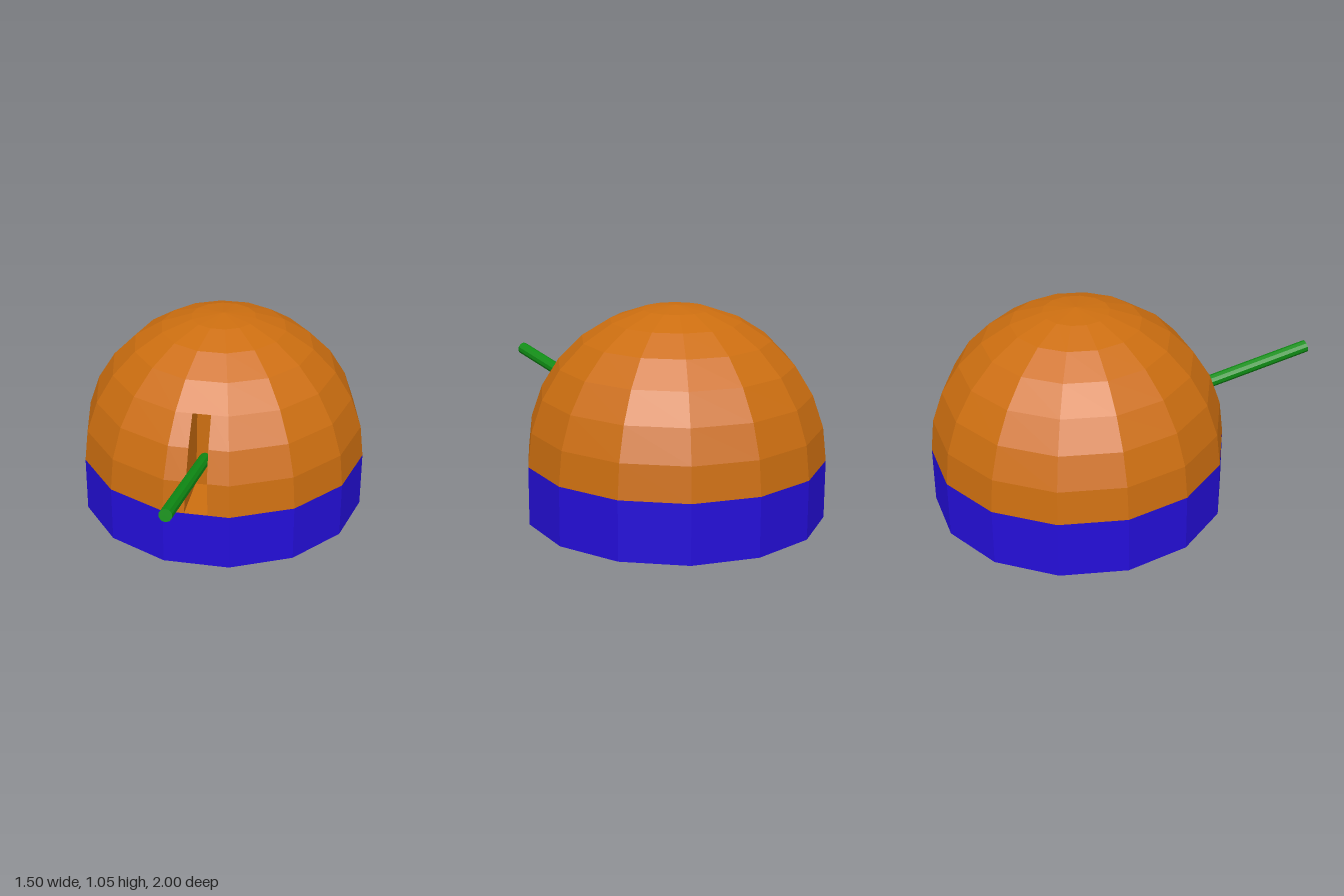
import * as THREE from 'three';

const SIDES = 14, RINGS = 7, RADIUS = 0.75, HEIGHT = 0.76;
const BASE_Y = 0.295, CENTRE_Z = -0.269, POCKET_Z = 0.18, FIRST_SLOT_ROW = 4;

const flat = (name, color) =>
  new THREE.MeshStandardMaterial({ name, color, flatShading: true, side: THREE.DoubleSide });

// Collects four-cornered faces (counter-clockwise from the front) into a geometry
function quadsToGeometry(quads) {
  const pos = [];
  for (const [a, b, c, d] of quads) {
    for (const p of [a, b, c, a, c, d]) pos.push(...p);
  }
  const g = new THREE.BufferGeometry();
  g.setAttribute('position', new THREE.Float32BufferAttribute(pos, 3));
  g.computeVertexNormals();
  return g;
}

// Point on the dome: ring 0 is the apex, side 0 starts left of the front panel
function domePoint(ring, side) {
  const phi = (ring / RINGS) * Math.PI / 2;
  const theta = (side - 0.5) * 2 * Math.PI / SIDES;
  const r = RADIUS * Math.sin(phi);
  return [r * Math.sin(theta), BASE_Y + HEIGHT * Math.cos(phi), CENTRE_Z + r * Math.cos(theta)];
}

// Half width of the slot at each ring it crosses
const slotHalf = { 4: 0.046, 5: 0.049, 6: 0.052, 7: 0.059 };
const slotPoint = (ring, sign, back) => {
  const [, y, z] = domePoint(ring, 0);
  return [sign * slotHalf[ring], y, back ? POCKET_Z : z];
};

function domeShell() {
  const quads = [];
  for (let k = 0; k < RINGS; k++) {
    for (let s = 0; s < SIDES; s++) {
      const tl = domePoint(k, s), bl = domePoint(k + 1, s);
      const br = domePoint(k + 1, s + 1), tr = domePoint(k, s + 1);
      if (s === 0 && k >= FIRST_SLOT_ROW) {
        // front panel, left open for the slot
        quads.push([tl, bl, slotPoint(k + 1, -1), slotPoint(k, -1)]);
        quads.push([slotPoint(k, 1), slotPoint(k + 1, 1), br, tr]);
      } else {
        quads.push([tl, bl, br, tr]);
      }
    }
  }
  return quadsToGeometry(quads);
}

function slotPocket() {
  const P = slotPoint, top = FIRST_SLOT_ROW, quads = [];
  for (let k = top; k < RINGS; k++) {
    // side walls and back wall
    quads.push([P(k, -1), P(k + 1, -1), P(k + 1, -1, true), P(k, -1, true)]);
    quads.push([P(k, 1, true), P(k + 1, 1, true), P(k + 1, 1), P(k, 1)]);
    quads.push([P(k, -1, true), P(k + 1, -1, true), P(k + 1, 1, true), P(k, 1, true)]);
  }
  // floor and ceiling
  quads.push([P(RINGS, -1), P(RINGS, 1), P(RINGS, 1, true), P(RINGS, -1, true)]);
  quads.push([P(top, -1), P(top, -1, true), P(top, 1, true), P(top, 1)]);
  return quadsToGeometry(quads);
}

export function createModel() {
  const group = new THREE.Group();
  group.name = 'domeTurret';
  const orange = flat('orange', 0xcc6e10);
  const blue = flat('blue', 0x240ed8);
  const green = flat('green', 0x0f8c14);

  const add = (name, geometry, material) => {
    const mesh = new THREE.Mesh(geometry, material);
    mesh.name = name;
    group.add(mesh);
    return mesh;
  };

  add('dome', domeShell(), orange);
  add('slotPocket', slotPocket(), orange);

  // Open base ring, with a flat panel facing the front
  const ring = new THREE.CylinderGeometry(RADIUS, RADIUS, BASE_Y, SIDES, 1, true, Math.PI / SIDES);
  add('baseRing', ring, blue).position.set(0, BASE_Y / 2, CENTRE_Z);

  // Barrel from the middle of the dome out through the slot
  const inner = new THREE.Vector3(0.002, 0.353, -0.27);
  const tip = new THREE.Vector3(-0.025, 0.626, 0.993);
  const axis = tip.clone().sub(inner);
  const barrel = add('barrel', new THREE.CylinderGeometry(0.032, 0.032, axis.length(), 10), green);
  barrel.position.copy(inner).add(tip).multiplyScalar(0.5);
  barrel.quaternion.setFromUnitVectors(new THREE.Vector3(0, 1, 0), axis.normalize());

  return group;
}
